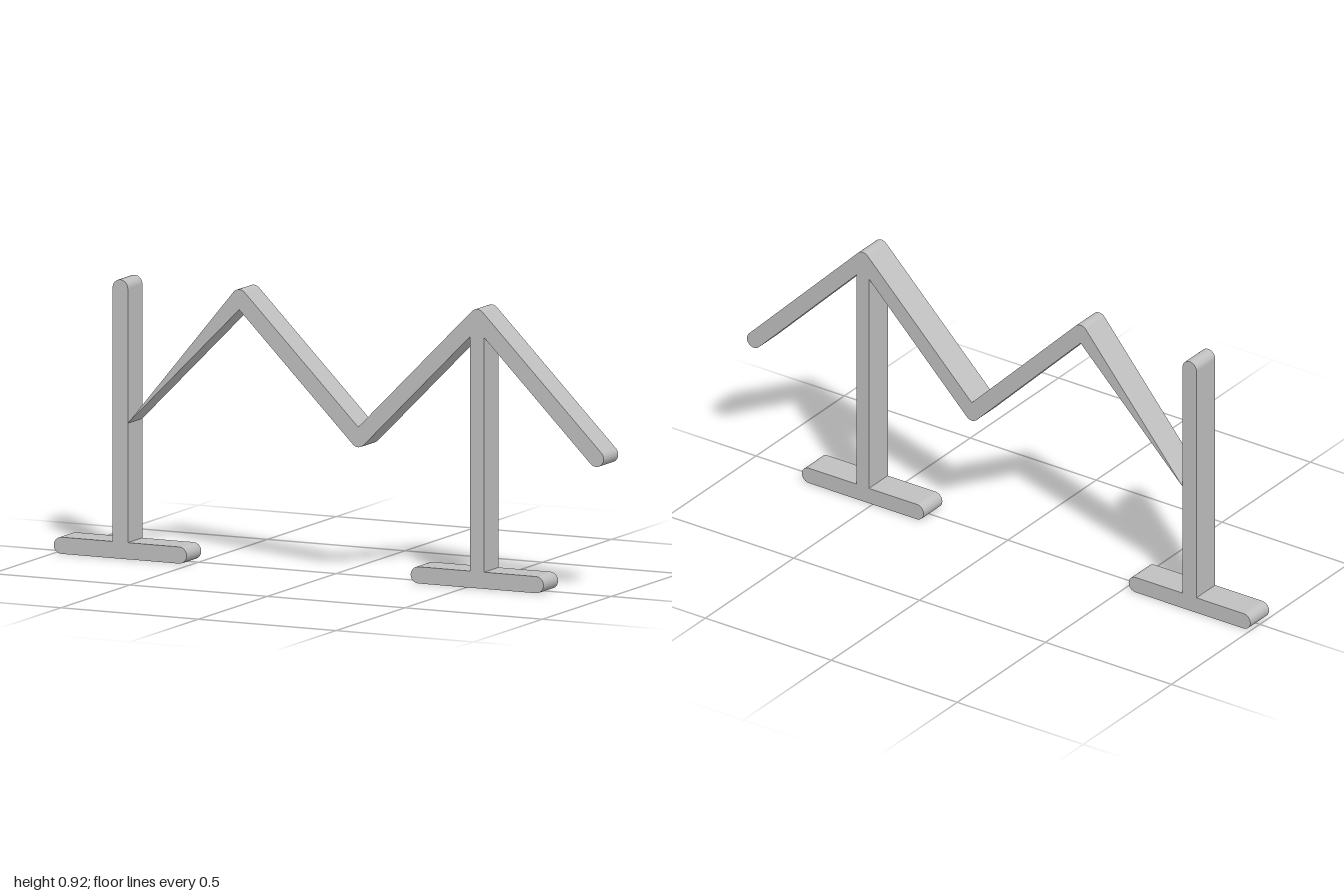
import * as THREE from 'three';

const R = 0.0275;          // half thickness of every bar
const DEPTH = 0.106;       // front-to-back depth
const STEP = 0.4325;       // horizontal and vertical run of each zigzag leg
const POST_X = -0.7585;    // centre of the tall post
const LOW = 0.46, HIGH = LOW + STEP;
const FOOT_TOP = 2 * R;
const rad = THREE.MathUtils.degToRad;

export function createModel() {
  const group = new THREE.Group();
  const grey = new THREE.MeshStandardMaterial({ color: 0xc0c0c0 });
  grey.name = 'light grey';

  // Extrudes a front outline through the depth, centred on z = 0
  function addPart(name, shape) {
    const geometry = new THREE.ExtrudeGeometry(shape, { depth: DEPTH, bevelEnabled: false, curveSegments: 8 });
    geometry.translate(0, 0, -DEPTH / 2);
    const mesh = new THREE.Mesh(geometry, grey);
    mesh.name = name;
    group.add(mesh);
  }

  // Rounded feet
  function addFoot(name, x) {
    const half = 0.2415 - R;
    const s = new THREE.Shape();
    s.absarc(x + half, R, R, rad(-90), rad(90), false);
    s.absarc(x - half, R, R, rad(90), rad(270), false);
    addPart(name, s);
  }

  const x1 = POST_X + STEP, x2 = x1 + STEP, x3 = x2 + STEP, x4 = x3 + STEP;
  const miter = R * Math.SQRT2;
  addFoot('rightFoot', POST_X);
  addFoot('leftFoot', x3);

  // Tall post with a rounded top
  const tall = new THREE.Shape();
  tall.moveTo(POST_X - R, FOOT_TOP);
  tall.lineTo(POST_X + R, FOOT_TOP);
  tall.absarc(POST_X, HIGH, R, 0, Math.PI, false);
  addPart('tallPost', tall);

  // Slim post, its top fitted into the underside of the peak
  const w = 0.025, inner = HIGH - miter;
  const slim = new THREE.Shape();
  slim.moveTo(x3 - w, FOOT_TOP);
  slim.lineTo(x3 + w, FOOT_TOP);
  slim.lineTo(x3 + w, inner - w);
  slim.lineTo(x3, inner);
  slim.lineTo(x3 - w, inner - w);
  addPart('supportPost', slim);

  // Zigzag bar: rounded outer corners, sharp inner corners
  const z = new THREE.Shape();
  z.moveTo(POST_X + R, LOW + R + miter);
  z.absarc(x1, HIGH, R, rad(135), rad(45), true);
  z.lineTo(x2, LOW + miter);
  z.absarc(x3, HIGH, R, rad(135), rad(45), true);
  z.absarc(x4, LOW, R, rad(45), rad(-135), true);
  z.lineTo(x3, inner);
  z.absarc(x2, LOW, R, rad(-45), rad(-135), true);
  z.lineTo(x1, inner);
  z.lineTo(POST_X + R, LOW + R - miter);
  addPart('zigzagBar', z);

  return group;
}
